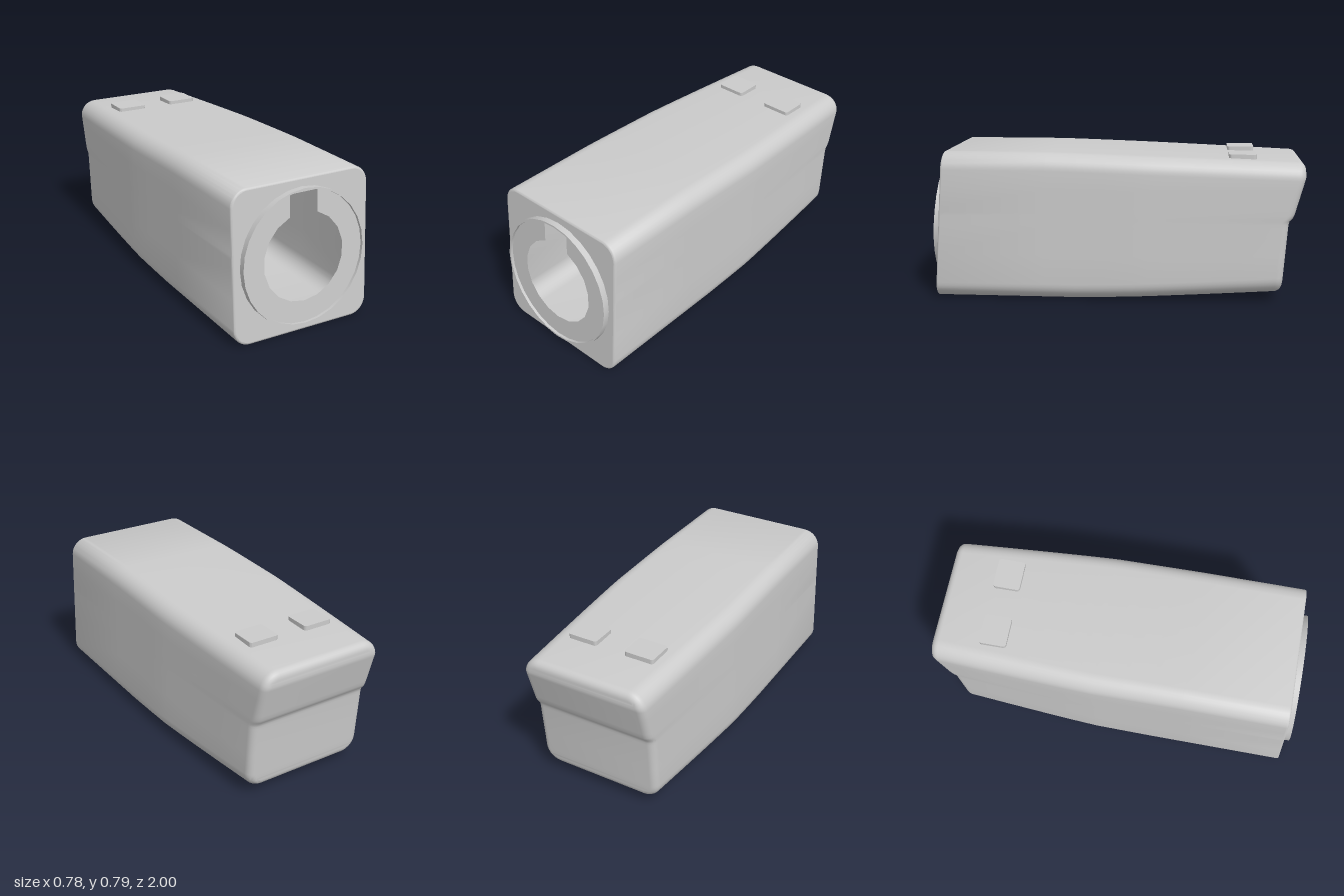
import * as THREE from 'three';
import { toCreasedNormals } from 'three/addons/utils/BufferGeometryUtils.js';

const material = new THREE.MeshStandardMaterial({ color: 0xcccccc, side: THREE.DoubleSide });

const CORNER = 0.09, BACK_R = 0.04, FRONT_R = 0.012, ARC = 8;
const TILT = 0.07; // the front leans back as it rises
const frontZ = (y) => 0.97 - TILT * y;

// Stepped profile of the back wall: [y, z]
const backProfile = [[0, -0.885], [0.42, -0.915], [0.44, -0.92], [0.455, -0.935], [0.475, -0.945], [0.67, -0.998], [0.8, -1]];
function backZ(y) {
  for (let i = 1; i < backProfile.length; i++) {
    const [y0, z0] = backProfile[i - 1], [y1, z1] = backProfile[i];
    if (y <= y1) return z0 + (z1 - z0) * (y - y0) / (y1 - y0);
  }
  return -1;
}

// Amount of taper, from 0 at s = start to 1 at the back (s = -1)
const taper = (s, start) => Math.pow(Math.max(0, (start - s) / (start + 1)), 1.15);

// Rounded rectangle at body position s, shrunk by inset; anticlockwise from the front
function ring(s, inset) {
  const w = 0.392 - 0.045 * taper(s, -0.12) - inset;
  const top = 0.792 - 0.045 * taper(s, 0.4) - inset;
  const bottom = 0.045 * taper(s, 0.22) + inset;
  const r = CORNER - inset;
  const right = [];
  for (let i = 0; i <= ARC; i++) {
    const a = i / ARC * Math.PI / 2;
    right.push([w - r + r * Math.sin(a), bottom + r - r * Math.cos(a)]);
  }
  for (const y of [0.25, 0.41, 0.425, 0.44, 0.455, 0.475, 0.5, 0.6]) right.push([w, y]);
  for (let i = 0; i <= ARC; i++) {
    const a = i / ARC * Math.PI / 2;
    right.push([w - r + r * Math.cos(a), top - r + r * Math.sin(a)]);
  }
  return [...right, ...right.map(([x, y]) => [-x, y]).reverse()];
}

function bodyGeometry() {
  const sections = [];
  const add = (s, inset, zAt) => sections.push(ring(s, inset).map(([x, y]) => [x, y, zAt(y)]));
  // rounded front edge
  for (let k = 4; k >= 0; k--) {
    const a = k / 4 * Math.PI / 2;
    add(1, FRONT_R * (1 - Math.cos(a)), (y) => frontZ(y) - FRONT_R * (1 - Math.sin(a)));
  }
  // long tapering sides
  for (const s of [0.4, 0.22, 0.05, -0.12, -0.2, -0.3, -0.5, -0.75]) {
    add(s, 0, (y) => s > 0 ? s * (frontZ(y) - FRONT_R) : -s * (backZ(y) + BACK_R));
  }
  // rounded back edge
  for (let k = 0; k <= 6; k++) {
    const a = k / 6 * Math.PI / 2;
    add(-1, BACK_R * (1 - Math.cos(a)), (y) => backZ(y) + BACK_R * (1 - Math.sin(a)));
  }
  const n = sections[0].length, index = [];
  const quad = (a, b, c, d) => index.push(a, b, c, a, c, d);
  for (let j = 0; j < sections.length - 1; j++) {
    for (let i = 0; i < n; i++) {
      const i1 = (i + 1) % n;
      quad(j * n + i, (j + 1) * n + i, (j + 1) * n + i1, j * n + i1);
    }
  }
  // back wall, row by row from right to left
  const base = (sections.length - 1) * n;
  for (let i = 0; i < n / 2 - 1; i++) {
    quad(base + i, base + n - 1 - i, base + n - 2 - i, base + i + 1);
  }
  const g = new THREE.BufferGeometry();
  g.setAttribute('position', new THREE.Float32BufferAttribute(sections.flat(2), 3));
  g.setIndex(index);
  return toCreasedNormals(g, 0.6);
}

const toVectors = (points) => points.map(([x, y]) => new THREE.Vector2(x, y));
function circlePoints(r, sides, cy = 0) {
  return Array.from({ length: sides }, (_, i) => {
    const a = i / sides * Math.PI * 2 - Math.PI / 2;
    return [r * Math.cos(a), cy + r * Math.sin(a)];
  });
}

// Front wall, leaning back, open behind the collar
function frontWallGeometry() {
  const shape = new THREE.Shape(toVectors(ring(1, FRONT_R)));
  shape.holes.push(new THREE.Path(toVectors(circlePoints(0.347, 28, 0.395))));
  const g = new THREE.ShapeGeometry(shape);
  const p = g.attributes.position;
  for (let i = 0; i < p.count; i++) p.setZ(i, frontZ(p.getY(i)));
  g.computeVertexNormals();
  return g;
}

// Round plate with a keyhole opening
function keyPlateGeometry() {
  const shape = new THREE.Shape(toVectors(circlePoints(0.345, 28)));
  const hole = circlePoints(0.23, 18);
  const x = hole[8][0];
  hole.splice(9, 1, [x, 0.33], [-x, 0.33]);
  shape.holes.push(new THREE.Path(toVectors(hole)));
  return new THREE.ShapeGeometry(shape);
}

// Thin raised collar around the plate
function collarGeometry() {
  const profile = toVectors([[0.352, -0.005], [0.352, 0.033], [0.343, 0.033], [0.343, -0.005]]);
  const g = new THREE.LatheGeometry(profile, 28).rotateX(Math.PI / 2);
  return toCreasedNormals(g, 0.5);
}

// Small pad with rounded corners, lying flat
function padGeometry() {
  const w = 0.0825, d = 0.0725, r = 0.015;
  const shape = new THREE.Shape();
  [[w, d, 0], [-w, d, 1], [-w, -d, 2], [w, -d, 3]].forEach(([x, y, q]) => {
    shape.absarc(x - Math.sign(x) * r, y - Math.sign(y) * r, r, q * Math.PI / 2, (q + 1) * Math.PI / 2);
  });
  const g = new THREE.ExtrudeGeometry(shape, { depth: 0.045, bevelEnabled: false, curveSegments: 4 });
  return toCreasedNormals(g.rotateX(-Math.PI / 2), 0.6);
}

export function createModel() {
  const model = new THREE.Group();
  model.name = 'housing';
  const add = (name, geometry, parent = model) => {
    const mesh = new THREE.Mesh(geometry, material);
    mesh.name = name;
    parent.add(mesh);
    return mesh;
  };

  add('body', bodyGeometry());
  add('frontWall', frontWallGeometry());

  const socket = new THREE.Group();
  socket.name = 'socket';
  socket.position.set(0, 0.395, frontZ(0.395));
  socket.rotation.x = -Math.atan(TILT);
  model.add(socket);
  add('collar', collarGeometry(), socket);
  add('keyPlate', keyPlateGeometry(), socket).position.z = 0.018;

  for (const side of [1, -1]) {
    add(side > 0 ? 'leftPad' : 'rightPad', padGeometry()).position.set(side * 0.164, 0.735, -0.672);
  }
  return model;
}
